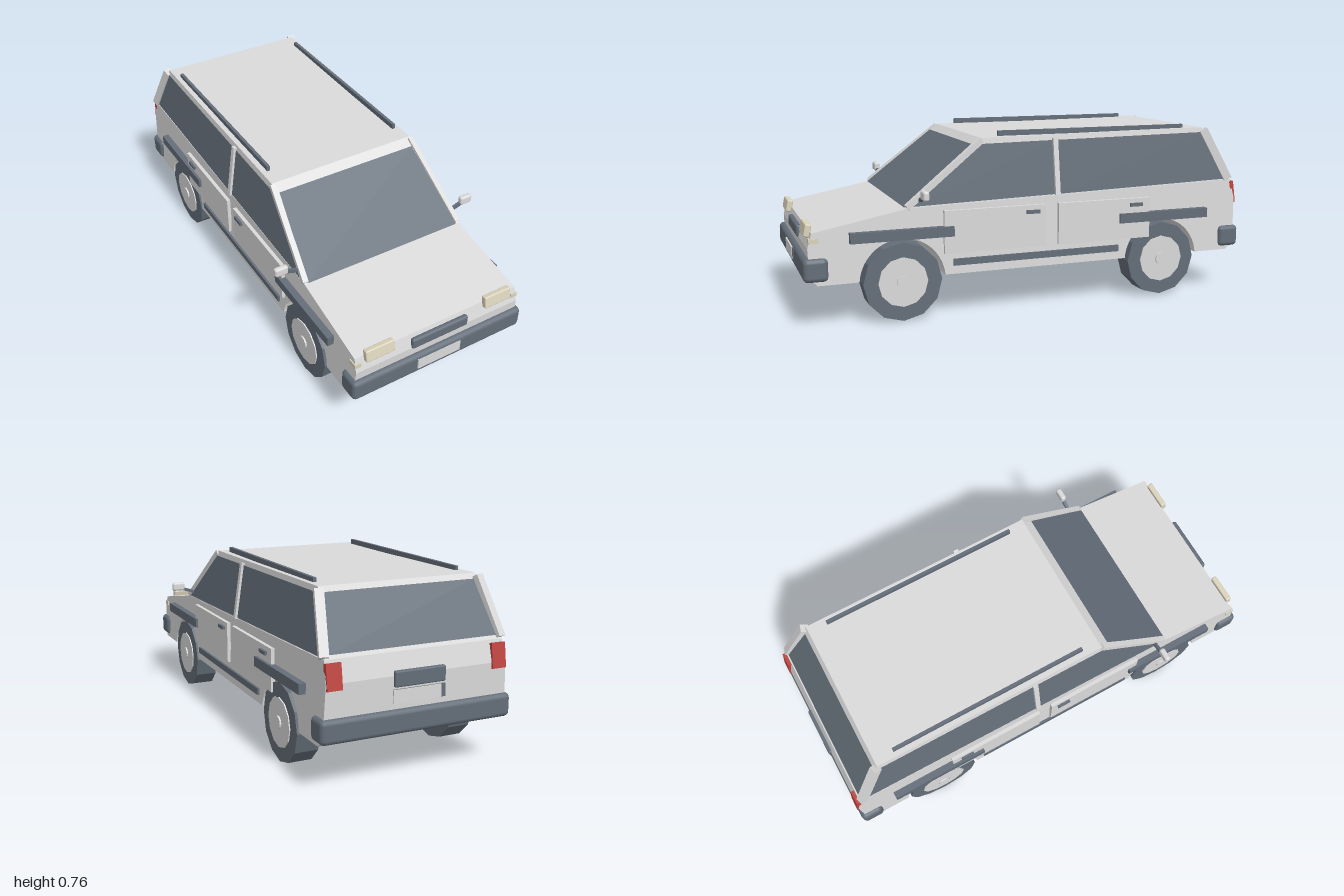
import * as THREE from 'three';
import { RoundedBoxGeometry } from 'three/addons/geometries/RoundedBoxGeometry.js';

const mat = (name, color, side = THREE.FrontSide) => {
  const m = new THREE.MeshStandardMaterial({ color, side });
  m.name = name;
  return m;
};

export function createModel() {
  const car = new THREE.Group();
  car.name = 'estateCar';
  const paint = mat('paint', 0xdadada);
  const trim = mat('slateTrim', 0x646e79, THREE.DoubleSide);
  const cream = mat('creamLamp', 0xdcd4bc);
  const red = mat('redLamp', 0xc04540);

  const add = (name, geometry, material, x = 0, y = 0, z = 0) => {
    const mesh = new THREE.Mesh(geometry, material);
    mesh.name = name;
    mesh.position.set(x, y, z);
    car.add(mesh);
    return mesh;
  };
  const box = (name, m, w, h, d, x, y, z) => add(name, new THREE.BoxGeometry(w, h, d), m, x, y, z);
  const rounded = (name, m, w, h, d, x, y, z, r = 0.01) =>
    add(name, new RoundedBoxGeometry(w, h, d, 2, r), m, x, y, z);

  // Square bar between two points
  const beam = (name, m, a, b, w, d = w) => {
    const p = new THREE.Vector3(...a), q = new THREE.Vector3(...b);
    const mesh = box(name, m, w, d, p.distanceTo(q), 0, 0, 0);
    mesh.position.copy(p).lerp(q, 0.5);
    mesh.lookAt(q);
    return mesh;
  };

  // Side outline (shape x = -z) extruded across the car, half width set by height
  const acrossCar = (name, shape, halfWidth) => {
    const g = new THREE.ExtrudeGeometry(shape, { depth: 2, bevelEnabled: false, curveSegments: 14 });
    g.translate(0, 0, -1).rotateY(Math.PI / 2);
    const p = g.attributes.position;
    for (let i = 0; i < p.count; i++) p.setX(i, Math.sign(p.getX(i)) * halfWidth(p.getY(i)));
    g.computeVertexNormals();
    return add(name, g, paint);
  };

  // Flat glass from a loop of corner points
  const pane = (name, points) => {
    const g = new THREE.BufferGeometry();
    g.setAttribute('position', new THREE.Float32BufferAttribute(points.flat(), 3));
    g.setIndex([0, 1, 2, 0, 2, 3]);
    g.computeVertexNormals();
    return add(name, g, trim);
  };

  // Lower body with two wheel arches
  const WHEEL_Z = 0.595, AXLE_Y = 0.165, ARCH = 0.18;
  const swing = Math.asin(0.015 / ARCH);
  const body = new THREE.Shape();
  body.moveTo(-0.94, 0.18);
  for (const z of [WHEEL_Z, -WHEEL_Z]) {
    body.lineTo(-z - ARCH * Math.cos(swing), 0.18);
    body.absarc(-z, AXLE_Y, ARCH, Math.PI - swing, swing, true);
  }
  for (const [z, y] of [[-0.94, 0.18], [-0.975, 0.21], [-0.98, 0.42], [-0.957, 0.505],
    [0.57, 0.465], [0.957, 0.392], [0.975, 0.33], [0.97, 0.21]]) body.lineTo(-z, y);
  body.closePath();
  const bodyWidth = (y) => 0.4 - 0.05 * (y - 0.18);
  acrossCar('body', body, bodyWidth);

  // Cabin and roof
  const cabin = new THREE.Shape(
    [[0.58, 0.46], [-0.955, 0.5], [-0.82, 0.745], [0.235, 0.735]].map(([z, y]) => new THREE.Vector2(-z, y)));
  const cabinWidth = (y) => 0.385 - 0.148 * (y - 0.465);
  acrossCar('cabin', cabin, cabinWidth);

  // Windscreen and rear window
  const frontZ = (y) => 0.588 - (y - 0.46) * 1.255;
  const rearZ = (y) => -0.961 + (y - 0.5) * 0.551;
  pane('windscreen', [[-0.37, 0.468, frontZ(0.468)], [0.37, 0.468, frontZ(0.468)],
    [0.33, 0.71, frontZ(0.71)], [-0.33, 0.71, frontZ(0.71)]]);
  pane('rearWindow', [[0.36, 0.52, rearZ(0.52)], [-0.36, 0.52, rearZ(0.52)],
    [-0.325, 0.725, rearZ(0.725)], [0.325, 0.725, rearZ(0.725)]]);

  for (const s of [1, -1]) {
    // Side windows
    const sidePane = (name, zy) => {
      const loop = zy.map(([z, y]) => [s * (cabinWidth(y) + 0.004), y, z]);
      pane(name, s > 0 ? loop : loop.reverse());
    };
    sidePane('frontSideWindow', [[0.545, 0.472], [-0.08, 0.487], [-0.08, 0.716], [0.235, 0.712]]);
    sidePane('rearSideWindow', [[-0.1, 0.487], [-0.925, 0.508], [-0.81, 0.724], [-0.1, 0.716]]);

    // Pillars
    beam('frontPillar', paint, [s * 0.38, 0.468, 0.57], [s * 0.342, 0.728, 0.238], 0.024);
    beam('middlePillar', paint, [s * 0.386, 0.482, -0.092], [s * 0.35, 0.725, -0.092], 0.022);
    beam('rearPillar', paint, [s * 0.38, 0.508, -0.945], [s * 0.345, 0.735, -0.828], 0.036);

    // Roof rail
    box('roofRail', trim, 0.014, 0.022, 0.89, s * 0.315, 0.75, -0.29);

    // Doors with handles
    for (const [z, d, handleZ] of [[0.195, 0.45, 0.03], [-0.31, 0.44, -0.46]]) {
      box('door', paint, 0.016, 0.18, d, s * 0.4, 0.36, z);
      box('doorHandle', trim, 0.014, 0.015, 0.06, s * 0.412, 0.422, handleZ);
    }

    // Side mouldings and sill strip
    box('frontMoulding', trim, 0.03, 0.042, 0.43, s * 0.405, 0.364, 0.595);
    box('rearMoulding', trim, 0.03, 0.042, 0.44, s * 0.405, 0.364, -0.6);
    box('sillStrip', trim, 0.014, 0.028, 0.76, s * 0.4, 0.23, 0);

    // Mirror
    rounded('mirror', paint, 0.06, 0.04, 0.026, s * 0.46, 0.527, 0.515);
    beam('mirrorArm', trim, [s * 0.38, 0.495, 0.515], [s * 0.44, 0.515, 0.515], 0.014);

    // Lamps
    const headlight = rounded('headlight', cream, 0.13, 0.053, 0.026, s * 0.285, 0.395, 0.966, 0.006);
    headlight.rotation.x = -0.2;
    box('cornerLamp', cream, 0.03, 0.02, 0.04, s * 0.38, 0.36, 0.95);
    const tail = box('tailLight', red, 0.062, 0.1, 0.02, s * 0.355, 0.445, -0.972);
    tail.rotation.x = 0.15;

    // Wheels
    for (const z of [WHEEL_Z, -WHEEL_Z]) {
      const wheel = new THREE.Group();
      wheel.name = 'wheel';
      wheel.position.set(s * 0.35, AXLE_Y, z);
      wheel.rotation.z = -s * Math.PI / 2;
      for (const [name, r, h, y, m] of [['tyre', 0.165, 0.1, 0, trim],
        ['hub', 0.104, 0.01, 0.05, paint], ['hubCap', 0.028, 0.012, 0.056, paint]]) {
        const g = new THREE.CylinderGeometry(r, r, h, 12).toNonIndexed();
        g.computeVertexNormals();
        const part = new THREE.Mesh(g, m);
        part.name = name;
        part.position.y = y;
        wheel.add(part);
      }
      car.add(wheel);
    }
  }

  // Bumpers
  for (const s of [1, -1])
    rounded('bumper', trim, 0.825, 0.096, 0.1, 0, 0.243, s * 0.946, 0.02);

  // Grille, rear panel and number plates
  rounded('grille', trim, 0.27, 0.05, 0.024, 0, 0.352, 0.972);
  box('frontPlateBacking', trim, 0.225, 0.052, 0.006, 0, 0.25, 0.996);
  box('frontPlate', paint, 0.207, 0.052, 0.006, -0.011, 0.25, 0.998);
  rounded('rearPanel', trim, 0.22, 0.062, 0.024, 0, 0.408, -0.979, 0.006);
  box('rearPlateBacking', trim, 0.225, 0.052, 0.006, 0, 0.342, -0.982);
  box('rearPlate', paint, 0.207, 0.052, 0.006, 0.011, 0.342, -0.985);

  return car;
}
